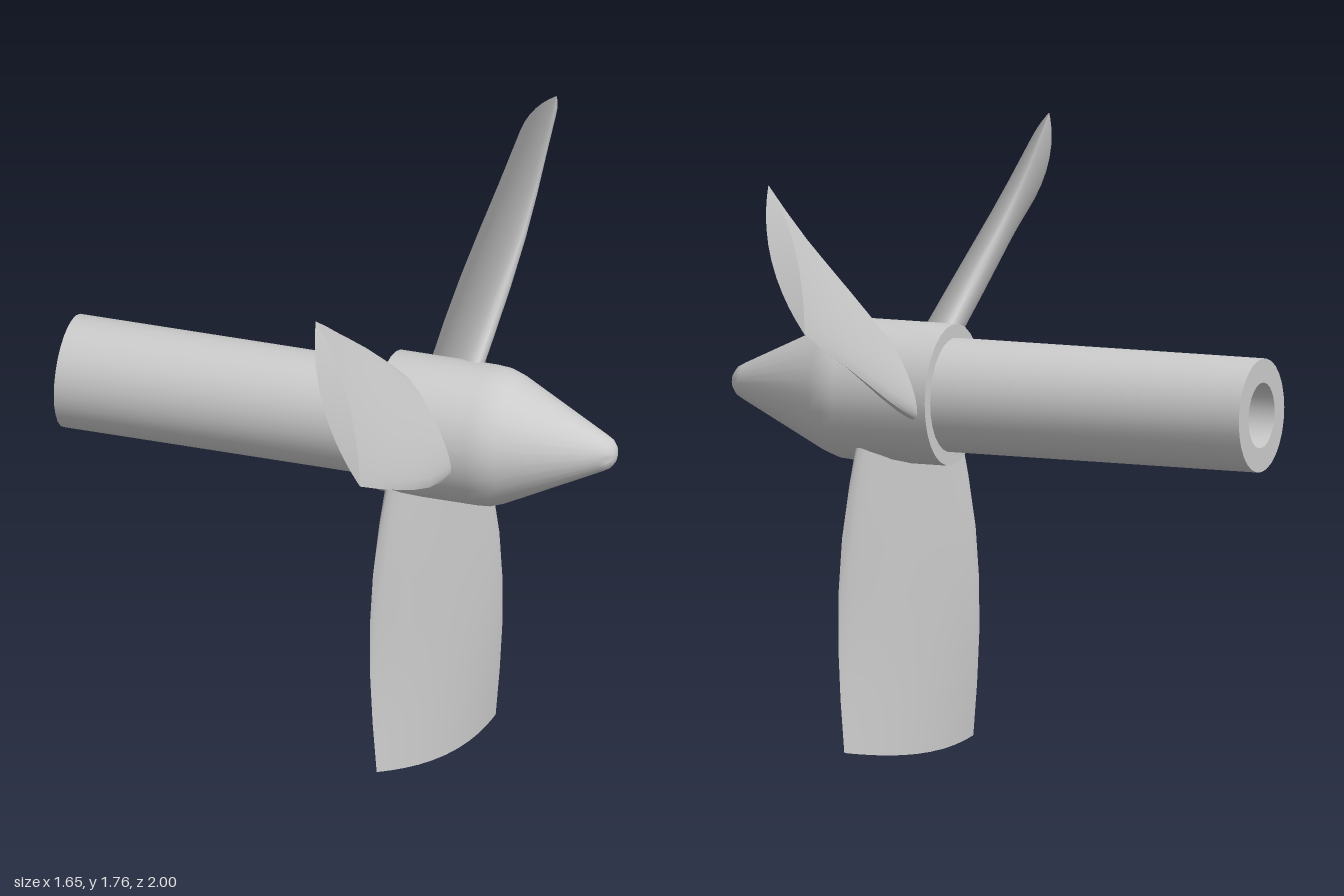
import * as THREE from 'three';
import { toCreasedNormals } from 'three/addons/utils/BufferGeometryUtils.js';

const AXIS_Y = 1.05;   // height of the shaft axis
const BLADE_X = 0.275; // blade station along the shaft
const material = new THREE.MeshStandardMaterial({ color: 0xcccccc });

// Solid of revolution about the x axis; profile points are [x, radius]
function turned(name, profile) {
  const points = profile.map(([x, r]) => new THREE.Vector2(r, x));
  const geometry = new THREE.LatheGeometry(points, 28).rotateZ(-Math.PI / 2);
  const mesh = new THREE.Mesh(toCreasedNormals(geometry, 0.7), material);
  mesh.name = name;
  return mesh;
}

// Blade sections from root to tip:
// [radius, half chord along x, half chord along z, half thickness, edge sharpness]
const SECTIONS = [
  [0.13, 0.100, 0.115, 0.050, 1.0],
  [0.30, 0.118, 0.158, 0.050, 1.1],
  [0.45, 0.130, 0.184, 0.049, 1.25],
  [0.60, 0.134, 0.200, 0.047, 1.4],
  [0.75, 0.130, 0.211, 0.044, 1.6],
  [0.90, 0.119, 0.220, 0.041, 1.8],
  [1.05, 0.105, 0.225, 0.038, 2.0],
];

// Twisted blade growing along +y, each section wrapped on a cylinder about x
function bladeGeometry() {
  const N = 28;
  const positions = [];
  const index = [];
  for (const [radius, cx, cz, thick, sharp] of SECTIONS) {
    const chord = Math.hypot(cx, cz);
    for (let j = 0; j < N; j++) {
      const a = (j / N) * Math.PI * 2;
      const c = Math.cos(a);
      const s = Math.sign(Math.sin(a)) * Math.abs(Math.sin(a)) ** sharp * thick;
      const x = cx * c + (cz / chord) * s;
      const z = cz * c - (cx / chord) * s;
      positions.push(x, Math.sqrt(radius * radius - z * z), z);
    }
  }
  // Skin between neighbouring sections
  for (let i = 0; i < SECTIONS.length - 1; i++) {
    for (let j = 0; j < N; j++) {
      const k = (j + 1) % N;
      const a = i * N + j, b = i * N + k;
      index.push(a, b, b + N, a, b + N, a + N);
    }
  }
  // Tip closed by strips running across the thickness
  const t = (SECTIONS.length - 1) * N;
  for (let j = 0; j < N / 2; j++) {
    const a = t + j, b = t + j + 1, c = t + N - j - 1, d = t + ((N - j) % N);
    if (b !== c) index.push(a, b, c);
    if (a !== d) index.push(a, c, d);
  }
  const geometry = new THREE.BufferGeometry();
  geometry.setAttribute('position', new THREE.Float32BufferAttribute(positions, 3));
  geometry.setIndex(index);
  return toCreasedNormals(geometry, 0.7);
}

export function createModel() {
  const model = new THREE.Group();
  model.name = 'propeller';
  const rotor = new THREE.Group();
  rotor.name = 'rotor';
  rotor.position.y = AXIS_Y;
  model.add(rotor);

  // Hollow shaft with a blind bore
  rotor.add(turned('shaft', [
    [0.10, 0], [0.10, 0.095], [-0.83, 0.095], [-0.83, 0.165], [0.15, 0.165],
  ]));

  // Hub with tapered, round-tipped nose
  rotor.add(turned('hub', [
    [0.137, 0.16], [0.137, 0.205], [0.43, 0.205], [0.47, 0.202], [0.51, 0.188],
    [0.785, 0.054], [0.805, 0.043], [0.819, 0.025], [0.825, 0],
  ]));

  // Three blades, one pointing straight down
  const geometry = bladeGeometry();
  for (let i = 0; i < 3; i++) {
    const blade = new THREE.Mesh(geometry, material);
    blade.name = 'blade' + (i + 1);
    blade.position.x = BLADE_X;
    blade.rotation.x = Math.PI / 3 + (i * Math.PI * 2) / 3;
    rotor.add(blade);
  }
  return model;
}
